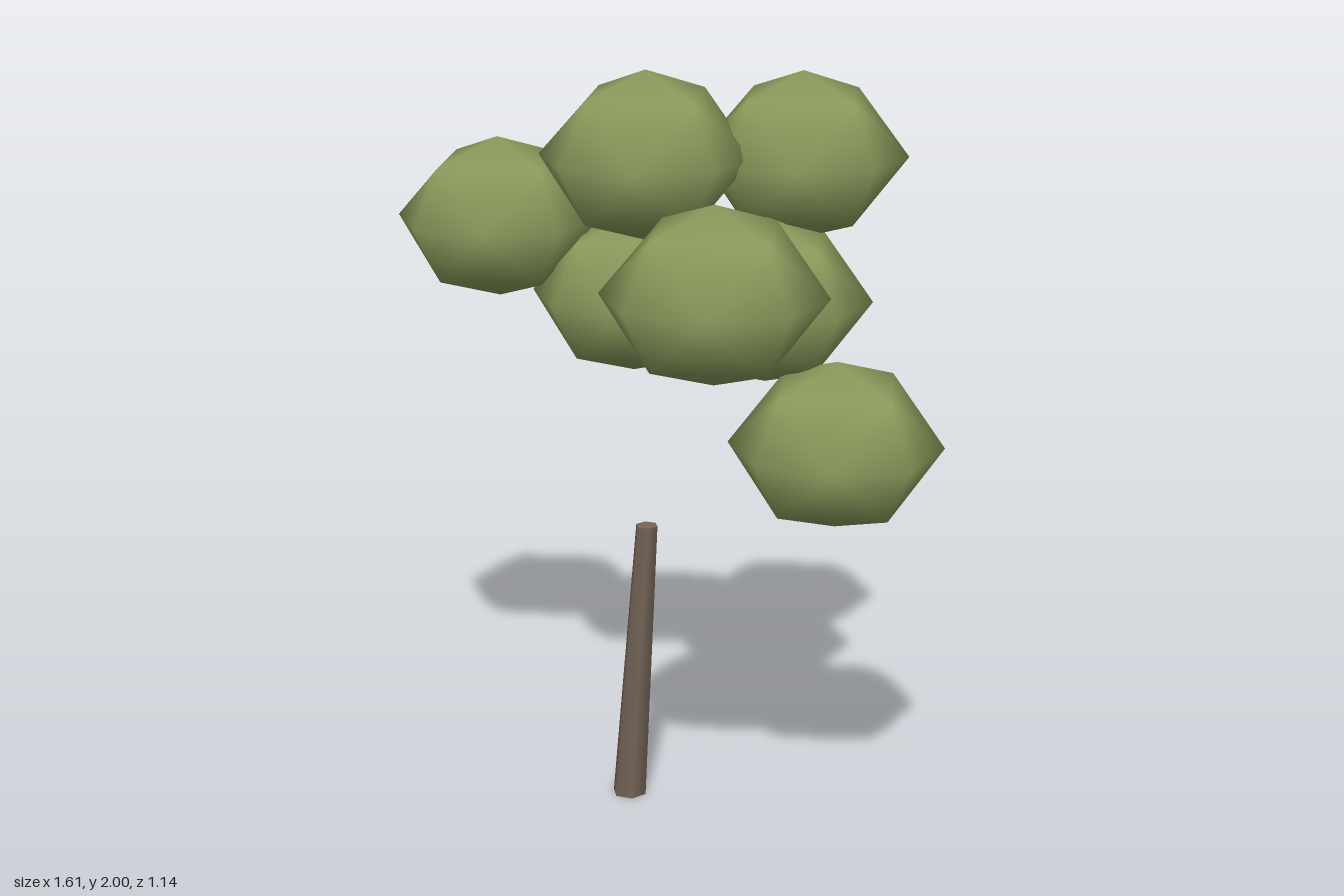
import * as THREE from 'three';

export function createModel() {
  const model = new THREE.Group();
  model.name = 'tree';

  const leafGreen = new THREE.MeshStandardMaterial({ color: 0x8a9a5b });
  leafGreen.name = 'leaf green';
  const barkBrown = new THREE.MeshStandardMaterial({ color: 0x766659 });
  barkBrown.name = 'bark brown';

  // Leaning, tapered six-sided trunk with level ends
  const height = 0.8;
  const trunkGeometry = new THREE.CylinderGeometry(0.03, 0.047, height, 6);
  trunkGeometry.translate(0, height / 2, 0);
  const lean = new THREE.Matrix4().set(
    1, 0.1, 0, -0.08,
    0, 1, 0, 0,
    0, 0, 1, 0.08,
    0, 0, 0, 1
  );
  trunkGeometry.applyMatrix4(lean);
  const trunk = new THREE.Mesh(trunkGeometry, barkBrown);
  trunk.name = 'trunk';
  model.add(trunk);

  // Flattened, smooth-shaded foliage clumps sharing one geometry
  const clumpGeometry = new THREE.OctahedronGeometry(0.272, 1);
  clumpGeometry.scale(1, 0.795, 1);
  const centres = [
    [0, 1.784, 0.08],
    [0.165, 1.765, -0.3],
    [0.53, 1.56, 0.297],
    [-0.532, 1.55, 0.163],
    [-0.25, 1.36, -0.075],
    [0.213, 1.42, -0.14],
    [0.48, 1.096, -0.145],
  ];
  const foliage = new THREE.Group();
  foliage.name = 'foliage';
  centres.forEach((centre, i) => {
    const clump = new THREE.Mesh(clumpGeometry, leafGreen);
    clump.name = `leafClump${i + 1}`;
    clump.position.set(...centre);
    foliage.add(clump);
  });
  model.add(foliage);

  return model;
}
